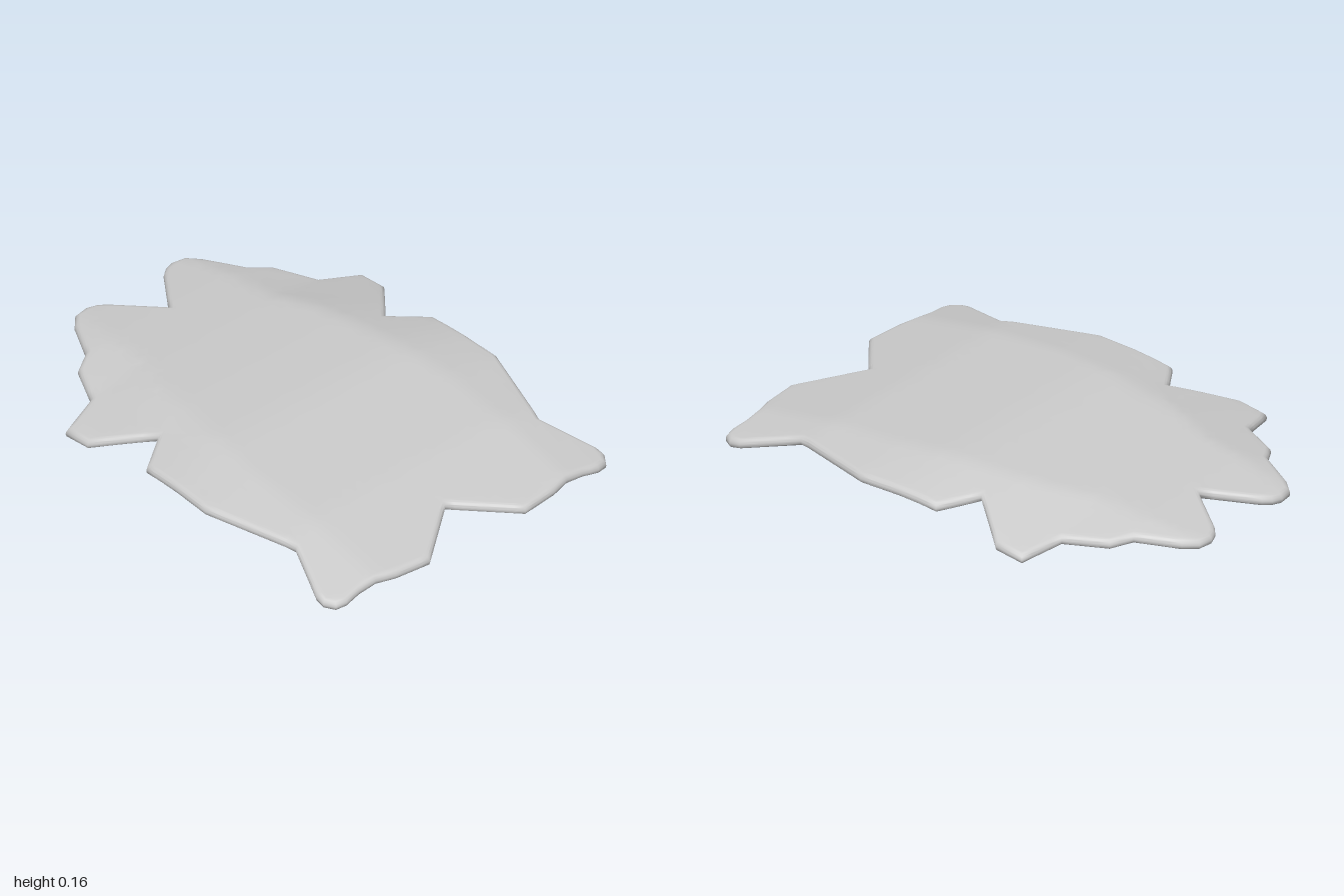
import * as THREE from 'three';
import { mergeVertices } from 'three/addons/utils/BufferGeometryUtils.js';

const THICK = 0.042;

// Left half of the outline as [x, z], from the rear notch to the front notch
const HALF = [
  [0, -0.77], [0.14, -0.96], [0.17, -0.985], [0.21, -1], [0.27, -0.99], [0.315, -0.94],
  [0.4, -0.78], [0.48, -0.73], [0.56, -0.565], [0.73, -0.51], [0.73, -0.385], [0.56, -0.18],
  [0.705, -0.08], [0.717, 0.27], [0.6, 0.65], [0.69, 0.87], [0.692, 0.915], [0.665, 0.955],
  [0.62, 0.965], [0.55, 0.955], [0.47, 0.957], [0.39, 0.978], [0.235, 0.993], [0, 0.808],
];

// Top height along the spine, and where / how steeply the flanks fall away: [z, value]
const SPINE = [[-1, 0.07], [-0.77, 0.102], [-0.5, 0.13], [-0.25, 0.15], [0, 0.163], [0.1, 0.163],
  [0.28, 0.153], [0.6, 0.13], [1, 0.062]];
const FOLD_X = [[-1, 0.25], [-0.75, 0.3], [-0.55, 0.31], [-0.38, 0.38], [-0.08, 0.43], [0.27, 0.47]];
const FOLD_SLOPE = [[-1, 0.15], [-0.75, 0.2], [-0.55, 0.22], [-0.38, 0.24], [-0.08, 0.2], [0.27, 0.14]];

function lookup(table, z) {
  if (z <= table[0][0]) return table[0][1];
  for (let i = 1; i < table.length; i++) {
    const [z0, v0] = table[i - 1], [z1, v1] = table[i];
    if (z <= z1) return THREE.MathUtils.lerp(v0, v1, (z - z0) / (z1 - z0));
  }
  return table[table.length - 1][1];
}

// Halve the longest edge of each triangle until every edge is short enough to bend
function subdivide(geometry, maxEdge) {
  const flat = geometry.index ? geometry.toNonIndexed() : geometry;
  const p = flat.attributes.position;
  const out = [];
  const split = (a, b, c) => {
    const ab = a.distanceTo(b), bc = b.distanceTo(c), ca = c.distanceTo(a);
    const longest = Math.max(ab, bc, ca);
    if (longest <= maxEdge) {
      out.push(...a.toArray(), ...b.toArray(), ...c.toArray());
      return;
    }
    if (longest === bc) [a, b, c] = [b, c, a];
    else if (longest === ca) [a, b, c] = [c, a, b];
    const m = a.clone().add(b).multiplyScalar(0.5);
    split(a, m, c);
    split(m, b, c);
  };
  for (let i = 0; i < p.count; i += 3) {
    split(...[0, 1, 2].map((k) => new THREE.Vector3().fromBufferAttribute(p, i + k)));
  }
  const result = new THREE.BufferGeometry();
  result.setAttribute('position', new THREE.Float32BufferAttribute(out, 3));
  return result;
}

export function createModel() {
  const group = new THREE.Group();
  group.name = 'hideRug';

  // Full symmetric outline
  const mirrored = HALF.slice(1, -1).reverse().map(([x, z]) => [-x, z]);
  const shape = new THREE.Shape([...HALF, ...mirrored].map(([x, z]) => new THREE.Vector2(x, -z)));

  // Thin slab with a rounded rim
  const bevel = THICK / 2 - 0.003;
  const slab = new THREE.ExtrudeGeometry(shape, {
    depth: 0.006, bevelEnabled: true, bevelThickness: bevel,
    bevelSize: 0.02, bevelOffset: -0.02, bevelSegments: 3,
  });
  slab.translate(0, 0, -0.003).rotateX(-Math.PI / 2);

  // Arch it along the spine and let the flanks droop
  const bent = subdivide(slab, 0.07);
  const p = bent.attributes.position;
  for (let i = 0; i < p.count; i++) {
    const x = Math.abs(p.getX(i)), z = p.getZ(i);
    const drop = Math.max(0, x - lookup(FOLD_X, z)) * lookup(FOLD_SLOPE, z);
    p.setY(i, p.getY(i) + lookup(SPINE, z) - THICK / 2 - drop);
  }
  const geometry = mergeVertices(bent, 1e-4);
  geometry.computeVertexNormals();
  geometry.computeBoundingBox();
  geometry.translate(0, -geometry.boundingBox.min.y, 0);

  const hide = new THREE.Mesh(geometry, new THREE.MeshStandardMaterial({ color: 0xcccccc }));
  hide.name = 'hide';
  group.add(hide);
  return group;
}
